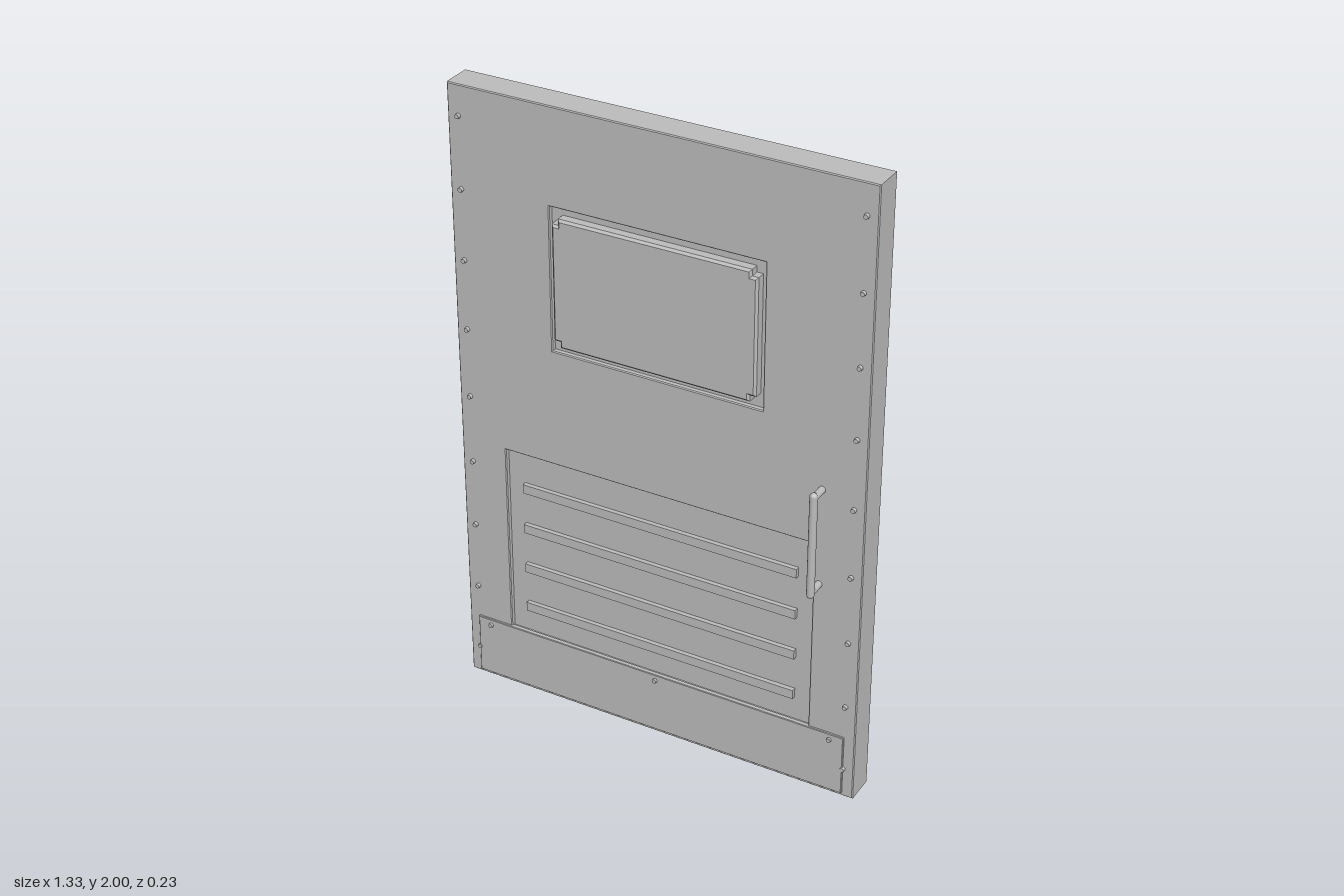
import * as THREE from 'three';

const metal = new THREE.MeshStandardMaterial({ color: 0xbcbcbc });
metal.name = 'grey metal';

const HALF = 0.049;    // half thickness of the door
const RECESS = 0.033;  // level of the sunken panels

function add(parent, name, geometry, x = 0, y = 0, z = 0) {
  const mesh = new THREE.Mesh(geometry, metal);
  mesh.name = name;
  mesh.position.set(x, y, z);
  parent.add(mesh);
  return mesh;
}

function rect(Type, x0, y0, x1, y1) {
  return new Type([[x0, y0], [x1, y0], [x1, y1], [x0, y1]].map(p => new THREE.Vector2(...p)));
}

// Extrusion with chamfered edges between two z levels
function slab(shape, z0, z1, bevel) {
  const g = new THREE.ExtrudeGeometry(shape, {
    depth: z1 - z0 - 2 * bevel, bevelEnabled: true, bevelSegments: 1,
    bevelSize: bevel, bevelThickness: bevel, bevelOffset: -bevel,
  });
  return g.translate(0, 0, z0 + bevel);
}

// Rectangular frame with a step cut out of each outer corner
function windowFrame() {
  const w = 0.325, h = 0.205, n = 0.02;
  const shape = new THREE.Shape([
    [-w + n, -h], [w - n, -h], [w - n, -h + n], [w, -h + n],
    [w, h - n], [w - n, h - n], [w - n, h], [-w + n, h],
    [-w + n, h - n], [-w, h - n], [-w, -h + n], [-w + n, -h + n],
  ].map(p => new THREE.Vector2(...p)));
  shape.holes.push(rect(THREE.Path, -0.295, -0.172, 0.295, 0.172));
  return slab(shape, RECESS - 0.01, 0.066, 0.007);
}

// Fittings of one face; handleX places the handle
function doorFace(name, handleX) {
  const face = new THREE.Group();
  face.name = name;

  add(face, 'windowFrame', windowFrame(), 0, 1.465, 0);

  // Louvre slats on the lower sunken panel
  for (let i = 0; i < 4; i++) {
    add(face, 'louvreSlat', new THREE.BoxGeometry(0.915, 0.03, 0.018), 0, 0.304 + i * 0.142, RECESS + 0.005);
  }

  // Kick plate along the bottom
  add(face, 'kickPlate', slab(rect(THREE.Shape, -0.63, 0.012, 0.63, 0.215), 0.04, 0.056, 0.002));

  // Screws down both edges and along the kick plate
  const screw = new THREE.CylinderGeometry(0.007, 0.009, 0.02, 12).rotateX(Math.PI / 2);
  for (const x of [-0.63, 0.63]) {
    for (let i = 0; i < 9; i++) add(face, 'edgeScrew', screw, x, 0.1 + i * 0.2256, 0.049);
  }
  for (const x of [-0.585, 0, 0.585]) add(face, 'kickPlateScrew', screw, x, 0.195, 0.053);

  // Pull handle on two posts
  const handle = new THREE.Group();
  handle.name = 'pullHandle';
  handle.position.x = handleX;
  add(handle, 'grip', new THREE.CapsuleGeometry(0.012, 0.326, 4, 16), 0, 0.88, 0.101);
  const post = new THREE.CylinderGeometry(0.011, 0.011, 0.06, 16).rotateX(Math.PI / 2);
  for (const y of [0.722, 1.038]) add(handle, 'post', post, 0, y, 0.072);
  face.add(handle);
  return face;
}

export function createModel() {
  const door = new THREE.Group();
  door.name = 'door';

  // Door leaf with openings for the window and the louvre panel
  const leaf = rect(THREE.Shape, -0.665, 0, 0.665, 2);
  leaf.holes.push(rect(THREE.Path, -0.34, 1.235, 0.34, 1.695));
  leaf.holes.push(rect(THREE.Path, -0.512, 0.21, 0.512, 0.852));
  add(door, 'doorLeaf', slab(leaf, -HALF, HALF, 0.003));

  // Sunken panels filling the openings
  add(door, 'windowPane', new THREE.BoxGeometry(0.7, 0.48, 2 * RECESS), 0, 1.465, 0);
  add(door, 'louvrePanel', new THREE.BoxGeometry(1.05, 0.66, 2 * RECESS), 0, 0.531, 0);

  const front = doorFace('frontFittings', 0.53);
  const back = doorFace('backFittings', -0.53);
  back.rotation.y = Math.PI;
  door.add(front, back);
  return door;
}
